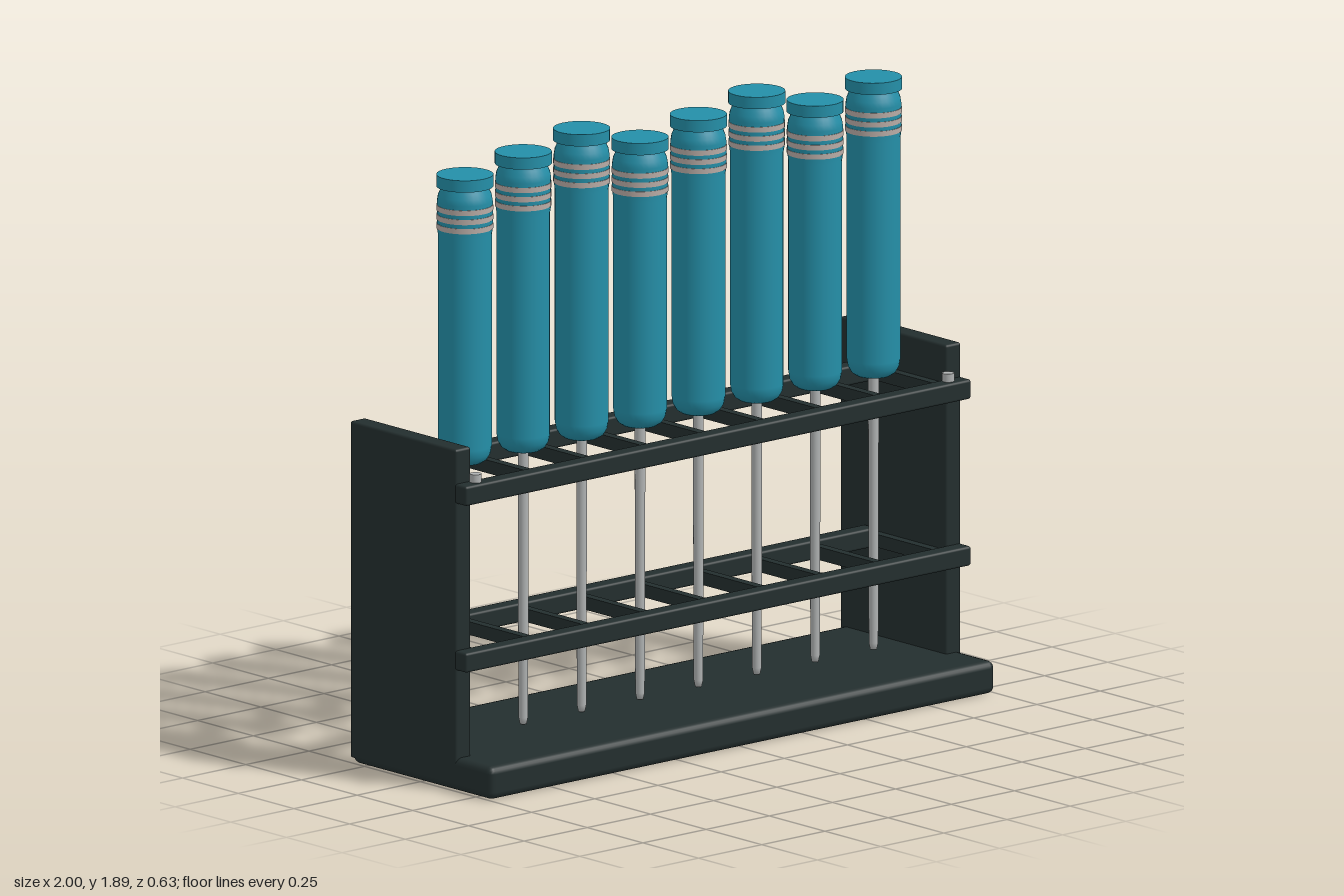
import * as THREE from 'three';
import { RoundedBoxGeometry } from 'three/addons/geometries/RoundedBoxGeometry.js';

const material = (name, color) => {
  const m = new THREE.MeshStandardMaterial({ color });
  m.name = name;
  return m;
};

export function createModel() {
  const rackPaint = material('dark rack', 0x232e2e);
  const teal = material('teal handle', 0x248fa8);
  const steel = material('steel', 0xb0b3b3);
  const ringGrey = material('warm grey ring', 0xb9aca6);

  const model = new THREE.Group();
  model.name = 'toolRack';

  const add = (parent, name, geometry, mat, x = 0, y = 0, z = 0) => {
    const mesh = new THREE.Mesh(geometry, mat);
    mesh.name = name;
    mesh.position.set(x, y, z);
    parent.add(mesh);
    return mesh;
  };
  // Rounded block given by its limits
  const block = (name, x0, x1, y0, y1, z0, z1, r) =>
    add(model, name, new RoundedBoxGeometry(x1 - x0, y1 - y0, z1 - z0, 2, r), rackPaint,
      (x0 + x1) / 2, (y0 + y1) / 2, (z0 + z1) / 2);

  const pitch = 0.231, count = 8, toolZ = -0.017;

  // Base and end panels
  block('base', -1, 1, 0, 0.1, -0.31, 0.317, 0.022);
  for (const s of [-1, 1]) {
    block('endPanel', s * 0.97 - 0.03, s * 0.97 + 0.03, 0.015, 1.045, -0.317, 0.16, 0.008);
    add(model, 'railPin', new THREE.CylinderGeometry(0.018, 0.018, 0.03, 16), steel, s * 0.935, 0.95, 0.175);
  }

  // Two ladder-like shelves: front rail, back rail and dividers
  for (const y of [0.4, 0.91]) {
    block('frontRail', -1, 1, y - 0.03, y + 0.03, 0.152, 0.206, 0.008);
    block('backRail', -0.94, 0.94, y - 0.03, y + 0.03, -0.206, -0.154, 0.008);
    for (let i = 0; i <= count; i++) {
      const x = (i - count / 2) * pitch;
      add(model, 'divider', new THREE.BoxGeometry(0.028, 0.04, 0.32), rackPaint, x, y, 0);
    }
  }

  // Eight tools with three alternating handle lengths
  for (let i = 0; i < count; i++) {
    const tool = new THREE.Group();
    tool.name = 'tool';
    tool.position.set((i - (count - 1) / 2) * pitch, 0, toolZ);
    model.add(tool);
    const top = [1.825, 1.857, 1.89][i % 3];

    // Shaft with a slightly tapered tip
    const shaft = [[0, 0.105], [0.01, 0.105], [0.014, 0.125], [0.015, 0.4], [0.016, 0.95]];
    add(tool, 'shaft', new THREE.LatheGeometry(shaft.map(p => new THREE.Vector2(...p)), 16), steel);

    // Handle body with rounded foot and shoulder
    const profile = [
      [0, 0.945], [0.052, 0.945], [0.066, 0.955], [0.076, 0.972], [0.08, 0.995],
      [0.08, top - 0.185], [0.083, top - 0.165], [0.083, top - 0.08],
      [0.08, top - 0.062], [0.073, top - 0.046], [0.068, top - 0.03],
    ];
    add(tool, 'handle', new THREE.LatheGeometry(profile.map(p => new THREE.Vector2(...p)), 32), teal);
    add(tool, 'endCap', new THREE.CylinderGeometry(0.085, 0.085, 0.036, 32), teal, 0, top - 0.018, 0);

    // Three grip rings below the cap
    for (const d of [0.1, 0.128, 0.156]) {
      add(tool, 'gripRing', new THREE.CylinderGeometry(0.0845, 0.0845, 0.016, 32), ringGrey, 0, top - d, 0);
    }
  }
  return model;
}
